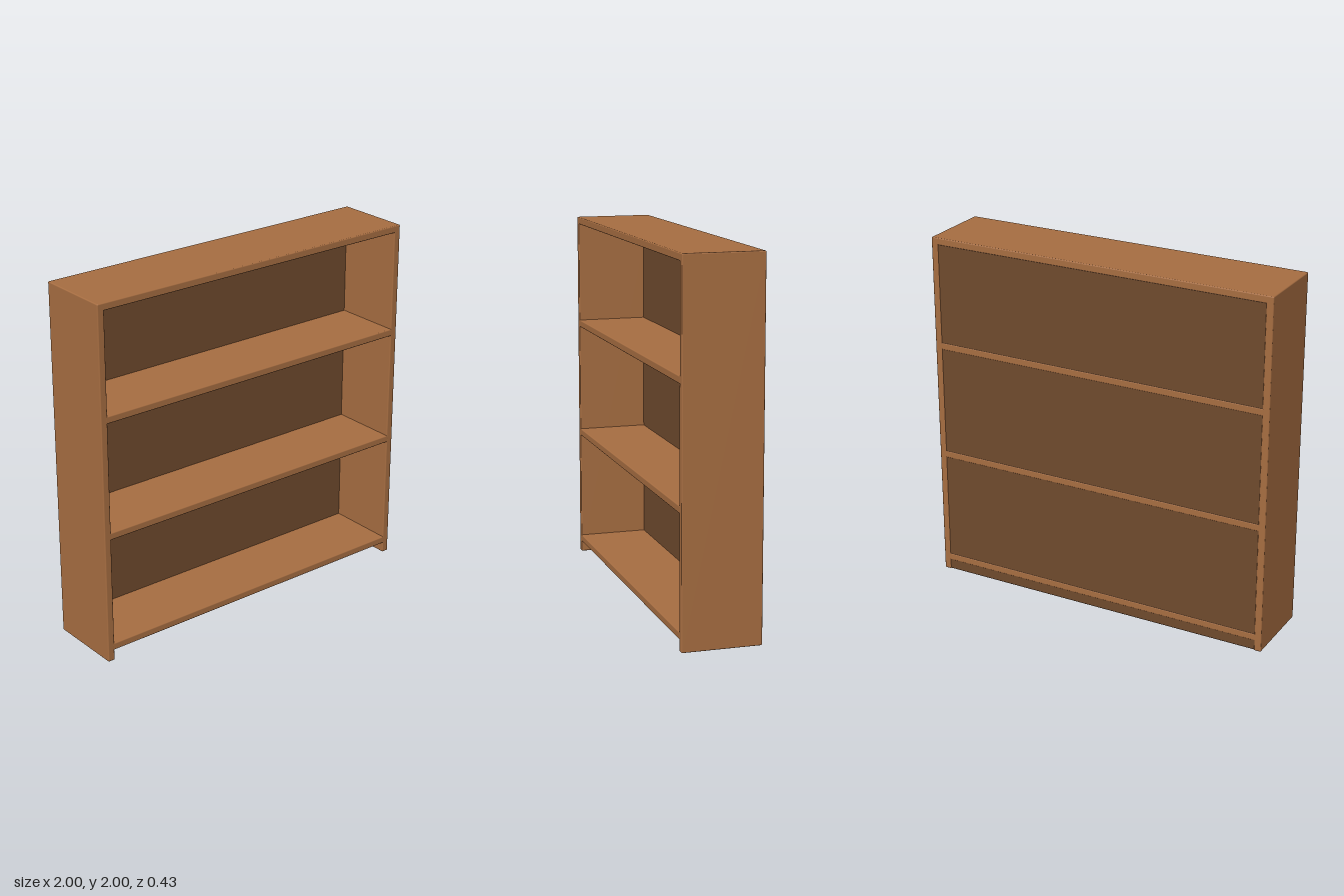
import * as THREE from 'three';
import { RoundedBoxGeometry } from 'three/addons/geometries/RoundedBoxGeometry.js';

export function createModel() {
  const wood = new THREE.MeshStandardMaterial({ color: 0xa66d41 });
  wood.name = 'wood';
  const darkWood = new THREE.MeshStandardMaterial({ color: 0x6f4a2d });
  darkWood.name = 'darkWood';

  const model = new THREE.Group();
  model.name = 'bookcase';
  const thick = 0.04, depth = 0.43;

  const board = (name, size, position, material, radius = 0.006) => {
    const mesh = new THREE.Mesh(new RoundedBoxGeometry(...size, 3, radius), material);
    mesh.name = name;
    mesh.position.set(...position);
    model.add(mesh);
  };

  // Upright side boards
  for (const [name, s] of [['leftSide', 1], ['rightSide', -1]]) {
    board(name, [thick, 2, depth], [s * (1 - thick / 2), 1, 0], wood);
  }

  // Top board, laid across both sides
  board('top', [2, thick, depth], [0, 2 - thick / 2, 0], wood);

  // Shelves, evenly spaced, let slightly into the sides
  [0.08, 0.73, 1.38].forEach((y, i) => {
    board(`shelf${i + 1}`, [1.94, thick, depth], [0, y, 0], wood);
  });

  // Back panel, almost flush with the rear edges of the boards
  board('backPanel', [1.94, 1.97, 0.04], [0, 0.985, -0.193], darkWood, 0.012);

  return model;
}
